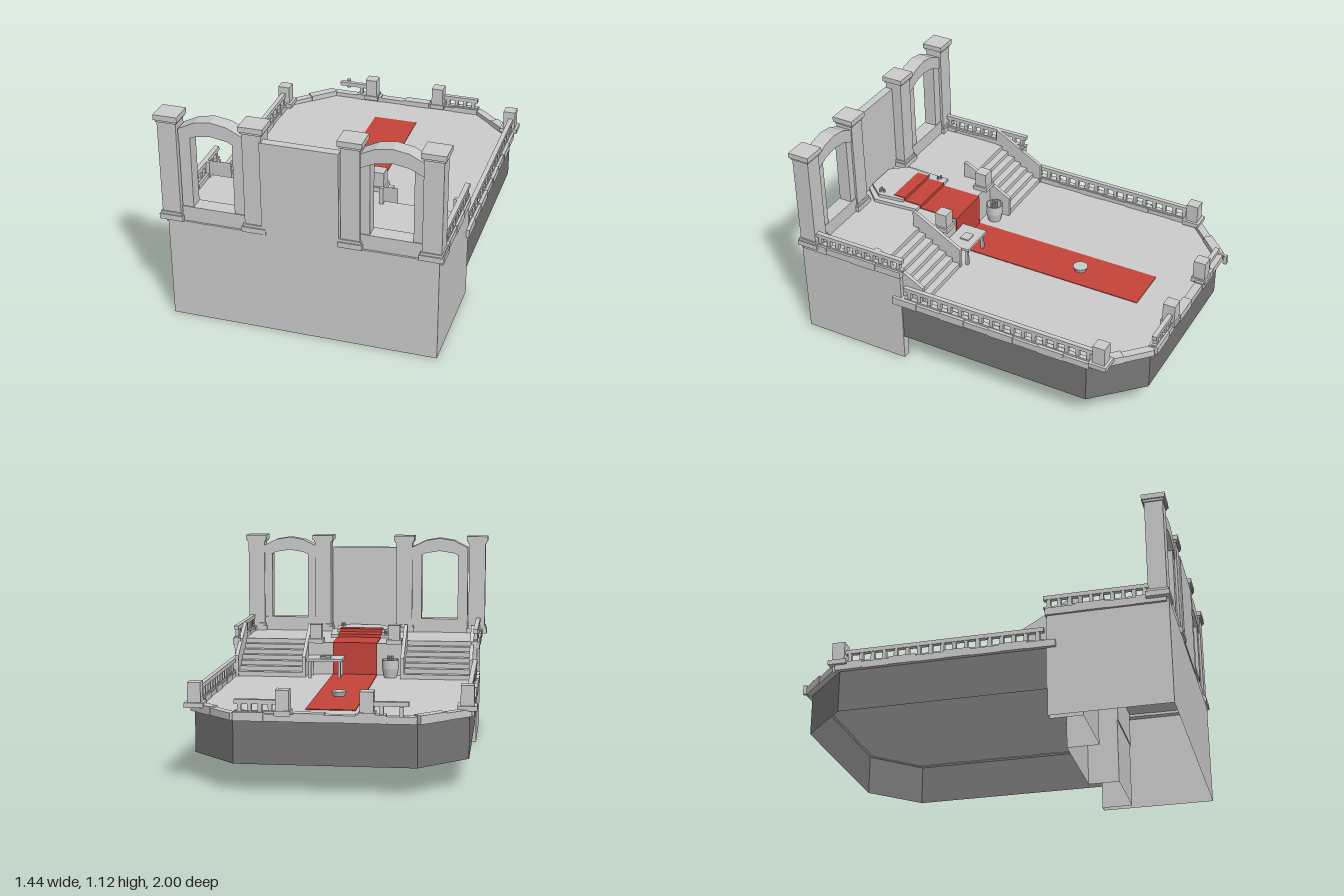
import * as THREE from 'three';

const material = (color, side = THREE.FrontSide) => new THREE.MeshStandardMaterial({ color, side, flatShading: true });
const grey = material(0xcccccc);
const red = material(0xc4433a);
const greyShell = material(0xcccccc, THREE.DoubleSide);
const darkShell = material(0x767676, THREE.DoubleSide);

export function createModel() {
  const root = new THREE.Group();

  const add = (name, geo, mat = grey, parent = root) => {
    const m = new THREE.Mesh(geo, mat);
    m.name = name;
    parent.add(m);
    return m;
  };
  // box from its min and max corners
  const box = (name, x0, x1, y0, y1, z0, z1, mat, parent) => {
    const m = add(name, new THREE.BoxGeometry(x1 - x0, y1 - y0, z1 - z0), mat, parent);
    m.position.set((x0 + x1) / 2, (y0 + y1) / 2, (z0 + z1) / 2);
  };
  const group = (name) => {
    const g = new THREE.Group();
    g.name = name;
    root.add(g);
    return g;
  };
  const outline = (pts) => new THREE.Shape(pts.map((p) => new THREE.Vector2(p[0], p[1])));
  // plan outline of [x, z] points raised from y0 to y1
  const slab = (name, pts, y0, y1) => {
    const geo = new THREE.ExtrudeGeometry(outline(pts.map(([x, z]) => [x, -z])), { depth: y1 - y0, bevelEnabled: false });
    add(name, geo.rotateX(-Math.PI / 2).translate(0, y0, 0));
  };
  // upright bar between two plan points
  const beam = (name, [ax, az], [bx, bz], width, y0, y1, parent) => {
    const m = add(name, new THREE.BoxGeometry(width, y1 - y0, Math.hypot(bx - ax, bz - az)), grey, parent);
    m.position.set((ax + bx) / 2, (y0 + y1) / 2, (az + bz) / 2);
    m.rotation.y = Math.atan2(bx - ax, bz - az);
  };
  // thin walls along a line of plan points
  const walls = (name, pts, y0, y1, mat) => {
    for (let i = 0; i < pts.length - 1; i++) {
      const [ax, az] = pts[i], [bx, bz] = pts[i + 1];
      const m = add(name, new THREE.PlaneGeometry(Math.hypot(bx - ax, bz - az), y1 - y0), mat);
      m.position.set((ax + bx) / 2, (y0 + y1) / 2, (az + bz) / 2);
      m.rotation.y = Math.atan2(az - bz, bx - ax);
    }
  };
  // handrail with evenly spaced balusters
  const balustrade = (name, a, b, y0, y1, count) => {
    const g = group(name);
    beam('handrail', a, b, 0.025, y1 - 0.022, y1, g);
    beam('bottomRail', a, b, 0.025, y0, y0 + 0.01, g);
    for (let i = 0; i < count; i++) {
      const t = (i + 0.5) / count;
      const x = a[0] + (b[0] - a[0]) * t, z = a[1] + (b[1] - a[1]) * t;
      box('baluster', x - 0.01, x + 0.01, y0, y1 - 0.02, z - 0.01, z + 0.01, grey, g);
    }
  };
  const post = (name, x, z, y0, y1, base) => {
    const g = group(name);
    const b = base / 2, s = 0.033;
    box('postBase', x - b, x + b, y0, y0 + 0.025, z - b, z + b, grey, g);
    box('postShaft', x - s, x + s, y0, y1, z - s, z + s, grey, g);
  };
  const cylinder = (name, x, y, z, top, bottom, height, sides) => {
    add(name, new THREE.CylinderGeometry(top, bottom, height, sides)).position.set(x, y + height / 2, z);
  };

  // upper terrace, open below and notched for the two stairs
  const terrace = [
    [-0.68, 0.99], [0.694, 0.99], [0.694, 0.385], [0.65, 0.385], [0.65, 0.55], [0.27, 0.55], [0.27, 0.385],
    [-0.26, 0.385], [-0.26, 0.55], [-0.64, 0.55], [-0.64, 0.385], [-0.68, 0.385],
  ];
  slab('terraceFloor', terrace, 0.545, 0.55);
  walls('terraceWall', [...terrace, terrace[0]], 0, 0.55, greyShell);

  // lower deck over an open-bottomed shell
  const rim = [[-0.677, 0.385], [-0.677, -0.68], [-0.44, -0.92], [0.45, -0.92], [0.688, -0.68], [0.688, 0.385]];
  slab('deckFloor', rim, 0.36, 0.37);
  walls('deckWall', rim, 0.14, 0.365, darkShell);

  // kerbs, laid as slightly uneven stones
  const kerb = [[-0.675, 0.43], [-0.675, -0.70], [-0.44, -0.93], [0.445, -0.93], [0.685, -0.70], [0.685, 0.43]];
  for (let i = 0; i < kerb.length - 1; i++) {
    const a = new THREE.Vector2(...kerb[i]), b = new THREE.Vector2(...kerb[i + 1]);
    const n = Math.max(2, Math.round(a.distanceTo(b) / 0.14));
    for (let k = 0; k < n; k++) {
      const p = a.clone().lerp(b, k / n), q = a.clone().lerp(b, (k + 1) / n);
      beam('deckKerb', [p.x, p.y], [q.x, q.y], k % 2 ? 0.05 : 0.042, 0.357, k % 2 ? 0.4 : 0.393);
    }
  }
  for (const x of [-0.67, 0.68]) {
    for (let k = 0; k < 4; k++) {
      const z = 0.38 + k * 0.15;
      beam('terraceKerb', [x, z], [x, z + 0.15], k % 2 ? 0.05 : 0.044, 0.53, k % 2 ? 0.575 : 0.568);
    }
  }

  // balustrades and posts
  balustrade('leftDeckRail', [0.68, 0.37], [0.68, -0.72], 0.395, 0.47, 18);
  balustrade('rightDeckRail', [-0.67, 0.37], [-0.67, -0.66], 0.395, 0.47, 17);
  balustrade('leftTerraceRail', [0.68, 0.9], [0.68, 0.37], 0.57, 0.64, 10);
  balustrade('rightTerraceRail', [-0.67, 0.9], [-0.67, 0.37], 0.57, 0.64, 10);
  balustrade('leftBackRail', [0.24, -0.93], [0.44, -0.93], 0.395, 0.46, 4);
  post('leftCornerPost', 0.67, -0.75, 0.385, 0.51, 0.096);
  post('rightCornerPost', -0.667, -0.685, 0.385, 0.51, 0.096);
  post('leftBackPost', 0.205, -0.92, 0.385, 0.51, 0.08);
  post('rightBackPost', -0.2, -0.92, 0.385, 0.51, 0.08);
  post('leftNewelPost', 0.225, 0.395, 0.55, 0.655, 0.085);
  post('rightNewelPost', -0.215, 0.4, 0.55, 0.655, 0.085);
  // damaged rail with a loose baluster
  beam('brokenHandrail', [-0.4, -0.93], [-0.2, -0.93], 0.025, 0.44, 0.462);
  box('brokenBaluster', -0.28, -0.26, 0.39, 0.44, -0.94, -0.92);
  box('looseBaluster', -0.38, -0.36, 0.4, 0.45, -1, -0.98);

  // stairs with sloping parapets
  for (const [x0, x1, parapets] of [[0.27, 0.65, [0.27, 0.65]], [-0.64, -0.26, [-0.28, -0.66]]]) {
    const g = group('stairs');
    const n = 7;
    for (let i = 0; i < n; i++) {
      box('step', x0, x1, 0.357, 0.37 + (0.18 * (i + 1)) / n, 0.27 + i * 0.041, 0.555, grey, g);
    }
    for (const x of parapets) {
      const geo = new THREE.ExtrudeGeometry(
        outline([[0.265, 0.357], [0.265, 0.485], [0.53, 0.64], [0.55, 0.64], [0.55, 0.357]]),
        { depth: 0.02, bevelEnabled: false });
      add('stairParapet', geo.rotateY(-Math.PI / 2).translate(x + 0.02, 0, 0), grey, g);
    }
  }

  // columns of the front facade
  for (const x of [-0.66, -0.23, 0.255, 0.655]) {
    const g = group('column');
    const tier = (name, w, y0, y1) => box(name, x - w, x + w, y0, y1, 0.941 - w * 0.97, 0.941 + w * 0.97, grey, g);
    tier('plinth', 0.061, 0.55, 0.578);
    tier('baseMoulding', 0.055, 0.578, 0.592);
    tier('shaft', 0.048, 0.592, 1.08);
    tier('neck', 0.054, 1.08, 1.092);
    tier('capital', 0.061, 1.092, 1.12);
  }
  box('centreWall', -0.19, 0.2, 0.545, 1.048, 0.95, 0.995);

  // arched windows between the columns
  for (const c of [-0.44, 0.455]) {
    const g = group('archedWindow');
    const w = 0.165;
    const curve = (top, rise) => [-1, -0.5, 0, 0.5, 1].map((t) => [c + t * w, top - rise * t * t]);
    const arch = new THREE.ExtrudeGeometry(
      outline([...curve(1.108, 0.055), ...curve(1.033, 0.053).reverse()]), { depth: 0.08, bevelEnabled: false });
    add('arch', arch.translate(0, 0, 0.9), grey, g);
    box('sill', c - w, c + w, 0.55, 0.63, 0.9, 0.98, grey, g);
    box('jamb', c - w, c - 0.107, 0.63, 1.005, 0.905, 0.975, grey, g);
    box('jamb', c + 0.107, c + w, 0.63, 1.005, 0.905, 0.975, grey, g);
  }

  // stepped dais with candles
  slab('daisLower', [[-0.17, 0.605], [0.17, 0.605], [0.19, 0.86], [0.11, 0.945], [-0.1, 0.945], [-0.18, 0.86]], 0.55, 0.568);
  slab('daisUpper', [[-0.14, 0.705], [0.145, 0.705], [0.16, 0.85], [0.09, 0.935], [-0.08, 0.935], [-0.15, 0.85]], 0.568, 0.586);
  for (const [x, z] of [[-0.155, 0.64], [-0.14, 0.65]]) cylinder('candle', x, 0.568, z, 0.006, 0.006, 0.02, 8);
  for (const [x, z] of [[0.12, 0.855], [0.135, 0.855], [0.128, 0.835]]) cylinder('candle', x, 0.586, z, 0.006, 0.006, 0.02, 8);

  // carpet running up to the dais
  const carpet = (y0, y1, z0, z1) => box('carpet', -0.12, 0.13, y0, y1, z0, z1, red);
  carpet(0.37, 0.374, -0.7, 0.38);
  carpet(0.37, 0.554, 0.375, 0.38);
  carpet(0.55, 0.554, 0.375, 0.605);
  carpet(0.55, 0.572, 0.6, 0.705);
  carpet(0.568, 0.59, 0.7, 0.77);

  // bowl on the carpet
  cylinder('bowl', 0.01, 0.374, -0.315, 0.04, 0.03, 0.025, 16);

  // table with a book
  const table = group('table');
  box('tableTop', 0.06, 0.26, 0.465, 0.48, 0.23, 0.375, grey, table);
  for (const x of [0.07, 0.235]) for (const z of [0.24, 0.345]) {
    box('tableLeg', x, x + 0.015, 0.37, 0.465, z, z + 0.015, grey, table);
  }
  box('book', 0.13, 0.19, 0.48, 0.487, 0.27, 0.32, grey, table);

  // barrel holding scrolls beside the right newel post
  const barrel = add('barrel', new THREE.LatheGeometry(
    [[0, 0], [0.036, 0], [0.047, 0.05], [0.047, 0.1], [0.04, 0.1], [0.04, 0.03], [0, 0.03]].map((p) => new THREE.Vector2(...p)), 16));
  barrel.position.set(-0.2, 0.37, 0.325);
  for (const [x, z] of [[-0.21, 0.335], [-0.19, 0.335], [-0.2, 0.31]]) cylinder('scroll', x, 0.4, z, 0.007, 0.007, 0.09, 8);

  return root;
}
